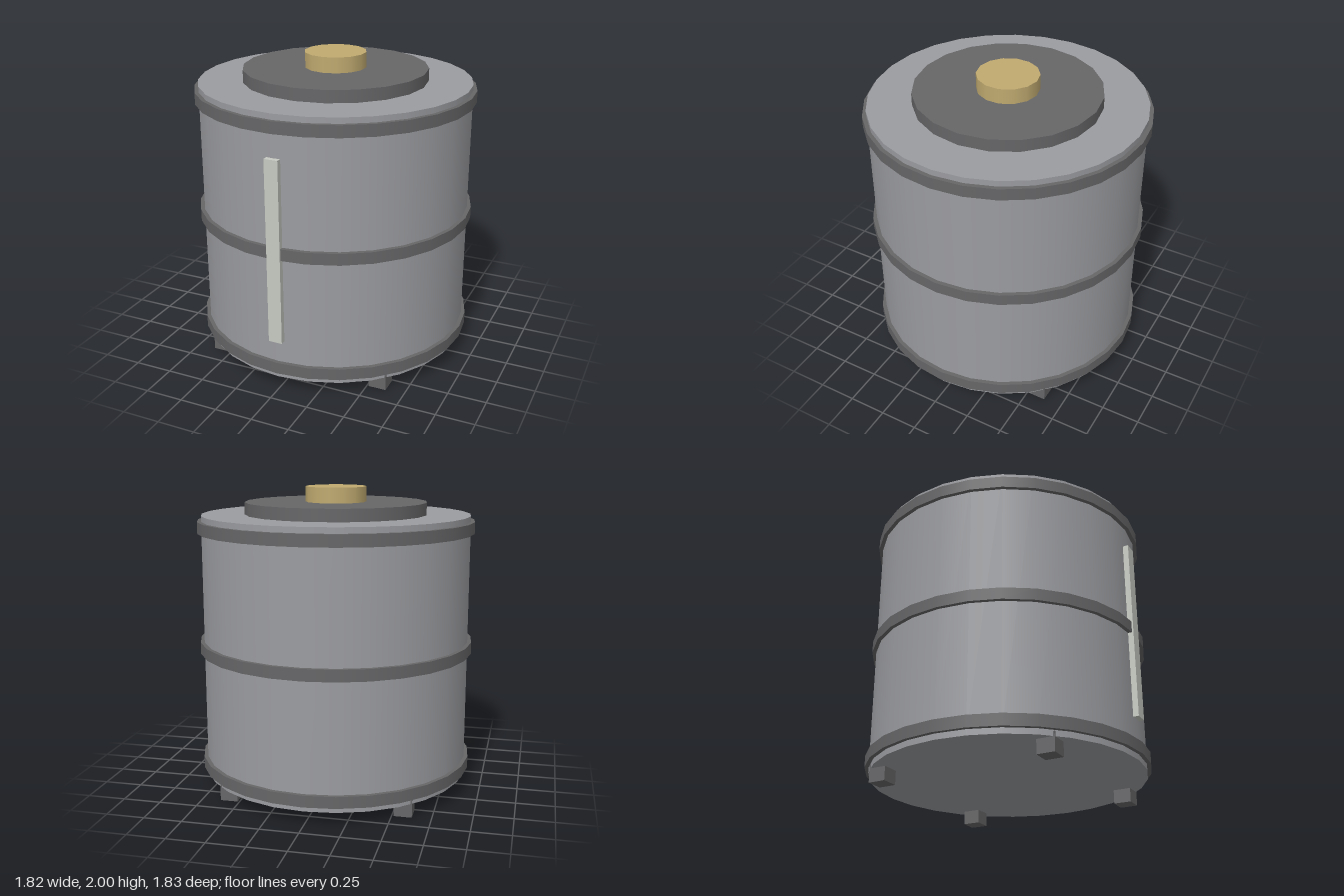
import * as THREE from 'three';

const material = (name, color) => {
  const m = new THREE.MeshStandardMaterial({ color });
  m.name = name;
  return m;
};

export function createModel() {
  const steel = material('steel grey', 0x9b9ca0);
  const iron = material('dark iron', 0x666668);
  const brass = material('brass', 0xc0aa70);
  const glass = material('pale glass', 0xc6cac2);

  const model = new THREE.Group();
  model.name = 'storageTank';

  const add = (name, geometry, mat, x, y, z) => {
    const mesh = new THREE.Mesh(geometry, mat);
    mesh.name = name;
    mesh.position.set(x, y, z);
    model.add(mesh);
  };

  // Upright drum given by its radius, bottom, top and number of sides
  const drum = (name, radius, bottom, top, sides, mat) =>
    add(name, new THREE.CylinderGeometry(radius, radius, top - bottom, sides), mat, 0, (bottom + top) / 2, 0);

  // Tank, lid and cap
  drum('tankBody', 0.886, 0.09, 1.82, 28, steel);
  drum('lid', 0.6, 1.82, 1.9, 20, iron);
  drum('cap', 0.2, 1.9, 2, 14, brass);

  // Reinforcing hoops
  const hoops = { lowerHoop: 0.165, middleHoop: 0.955, upperHoop: 1.745 };
  for (const [name, y] of Object.entries(hoops)) {
    drum(name, 0.912, y - 0.038, y + 0.038, 28, iron);
  }

  // Level gauge on the front
  add('levelGauge', new THREE.BoxGeometry(0.09, 1.2, 0.05), glass, 0, 0.953, 0.892);

  // Four feet
  for (const [sideName, x] of [['Left', 0.57], ['Right', -0.57]]) {
    for (const [endName, z] of [['front', 0.57], ['back', -0.57]]) {
      add(`${endName}${sideName}Foot`, new THREE.BoxGeometry(0.115, 0.12, 0.115), iron, x, 0.06, z);
    }
  }

  return model;
}
